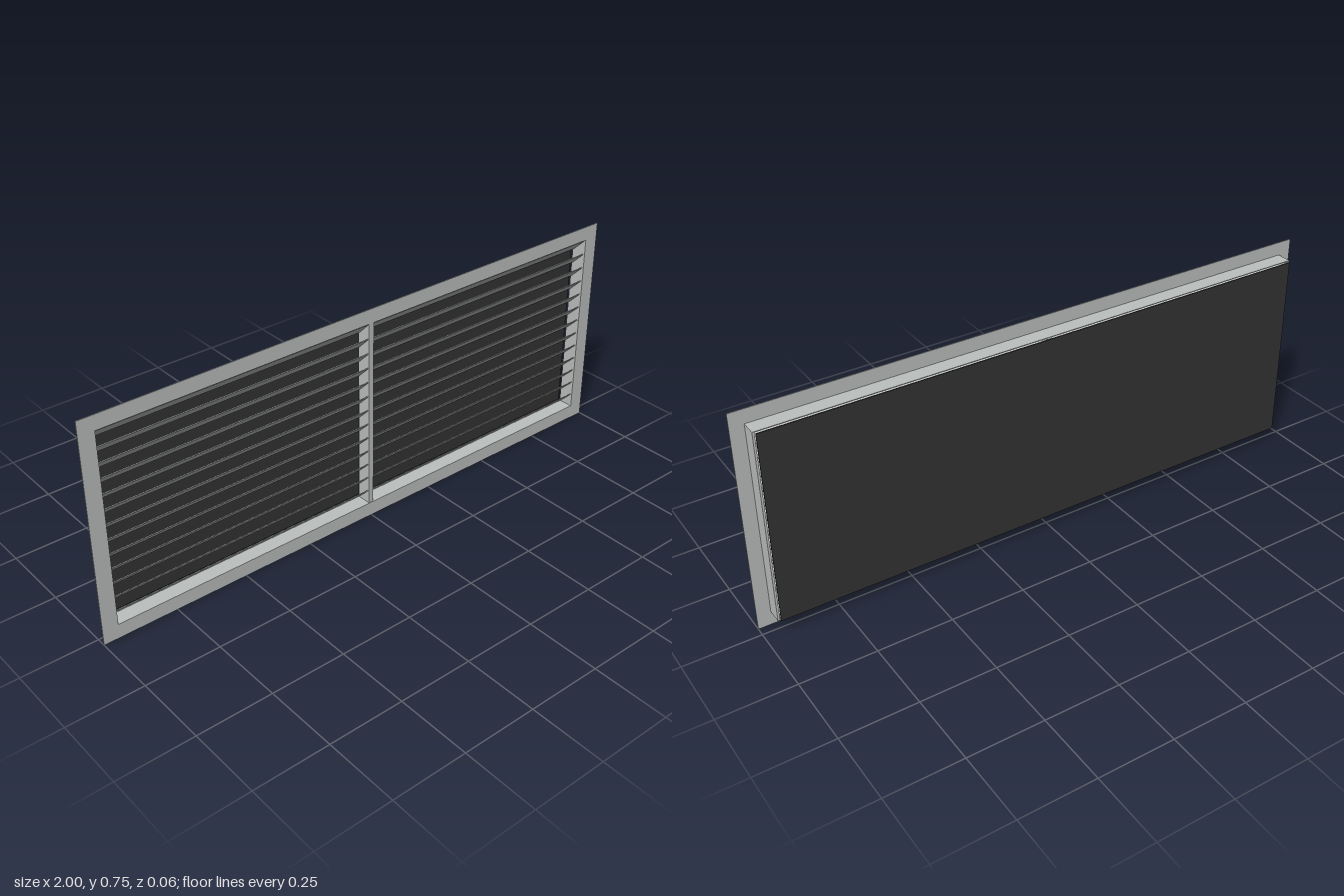
import * as THREE from 'three';

export function createModel() {
  const model = new THREE.Group();
  model.name = 'ventGrille';
  const metal = new THREE.MeshStandardMaterial({ color: 0xbcc0be });
  metal.name = 'light grey metal';
  const dark = new THREE.MeshStandardMaterial({ color: 0x333333 });
  dark.name = 'dark backing';

  const midY = 0.375;

  // Rectangular ring extruded along z from z0 to z1
  function ring(name, outW, outH, inW, inH, z0, z1) {
    const rect = (Type, w, h) => new Type([
      new THREE.Vector2(-w / 2, -h / 2), new THREE.Vector2(w / 2, -h / 2),
      new THREE.Vector2(w / 2, h / 2), new THREE.Vector2(-w / 2, h / 2),
    ]);
    const shape = rect(THREE.Shape, outW, outH);
    shape.holes.push(rect(THREE.Path, inW, inH));
    const geo = new THREE.ExtrudeGeometry(shape, { depth: z1 - z0, bevelEnabled: false });
    const mesh = new THREE.Mesh(geo, metal);
    mesh.name = name;
    mesh.position.set(0, midY, z0);
    model.add(mesh);
  }

  function box(name, w, h, d, x, y, z, material) {
    const mesh = new THREE.Mesh(new THREE.BoxGeometry(w, h, d), material);
    mesh.name = name;
    mesh.position.set(x, y, z);
    model.add(mesh);
    return mesh;
  }

  // Front flange and the collar behind it
  ring('frontFlange', 2, 0.75, 1.896, 0.652, 0.029, 0.032);
  ring('collar', 1.91, 0.657, 1.896, 0.652, -0.022, 0.029);

  // Central upright
  box('centreDivider', 0.018, 0.652, 0.05, 0, midY, 0.005, metal);

  // Louvre blades on both sides, front edge high and back edge low
  const count = 13;
  const pitch = 0.652 / count;
  for (const side of [-1, 1]) {
    for (let i = 0; i < count; i++) {
      const y = 0.049 + pitch * (i + 0.5);
      const blade = box('louvreBlade', 0.939, 0.062, 0.003, side * 0.4785, y, 0.004, metal);
      blade.rotation.x = Math.PI / 4;
    }
  }

  // Backing sheet, set slightly behind the collar
  box('backPanel', 1.896, 0.65, 0.004, 0, midY + 0.001, -0.03, dark);

  return model;
}
